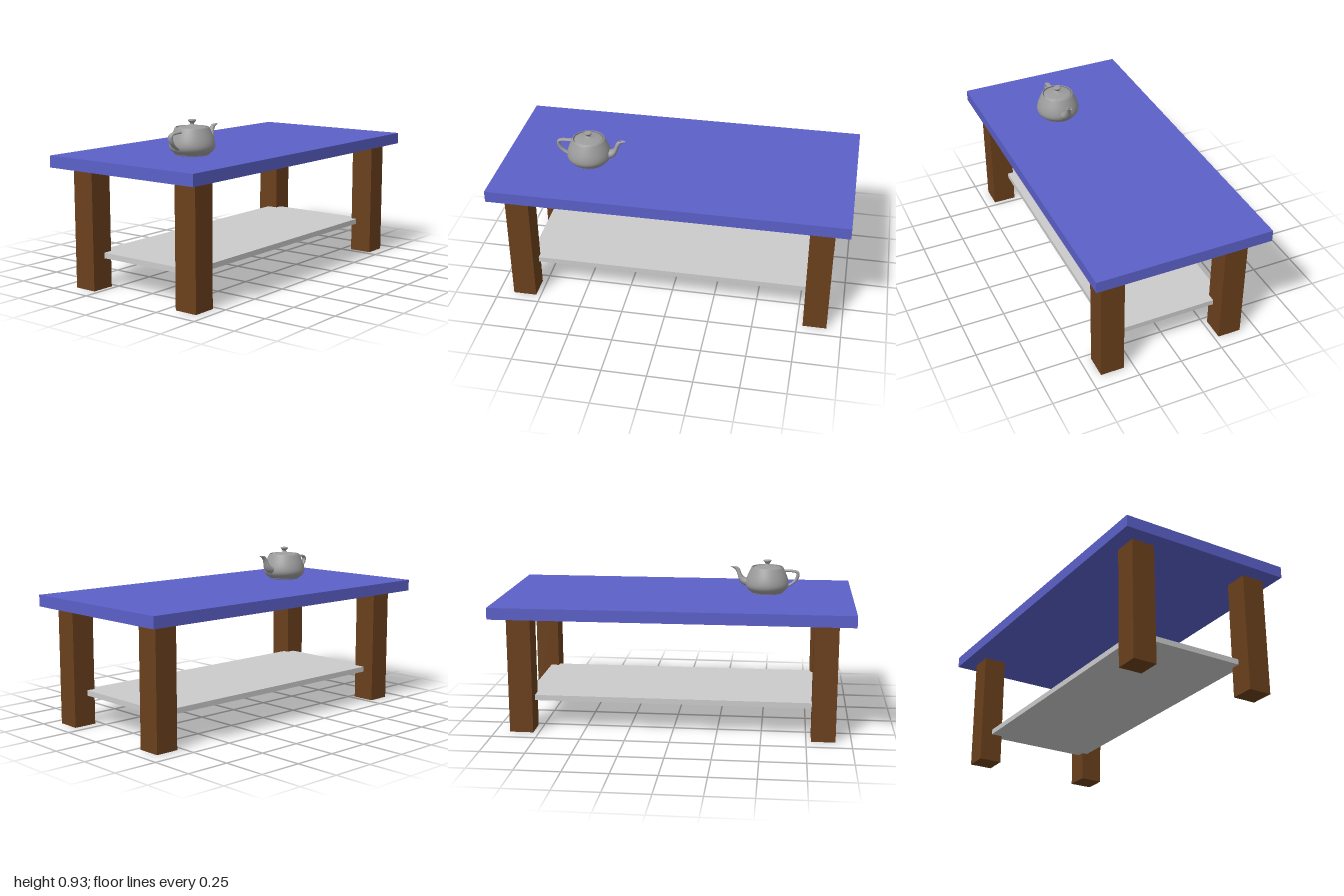
import * as THREE from 'three';
import { ParametricGeometry } from 'three/addons/geometries/ParametricGeometry.js';

const BLUE = new THREE.MeshStandardMaterial({ color: 0x5b60c8 });
const BROWN = new THREE.MeshStandardMaterial({ color: 0x6b401c });
const GREY = new THREE.MeshStandardMaterial({ color: 0xcccccc });
const POT = new THREE.MeshStandardMaterial({ color: 0x9c9c9c, side: THREE.DoubleSide });

function addMesh(parent, name, geometry, material) {
  const mesh = new THREE.Mesh(geometry, material);
  mesh.name = name;
  parent.add(mesh);
  return mesh;
}

function addBox(parent, name, material, size, centre) {
  addMesh(parent, name, new THREE.BoxGeometry(...size), material).position.set(...centre);
}

// Cubic curve through control points [x, y, halfWidth]
const curve = (...p) =>
  new THREE.CubicBezierCurve3(...p.map(([x, y, w = 0]) => new THREE.Vector3(x, y, w)));

// Revolve a chain of cubic profile curves
function revolve(curves) {
  const points = curves.flatMap((c, i) => c.getPoints(10).slice(i ? 1 : 0));
  return new THREE.LatheGeometry(points.map((p) => new THREE.Vector2(p.x, p.y)), 48);
}

// Closed tube spanned between an inner and an outer edge, bulging sideways by the half width
function sweep(inner, outer) {
  const at = (edge, t) => {
    const s = Math.min(Math.max(t, 0), 1) * edge.length;
    const i = Math.min(Math.floor(s), edge.length - 1);
    return edge[i].getPoint(s - i);
  };
  return new ParametricGeometry((u, v, target) => {
    const a = at(inner, v), b = at(outer, v);
    const side = u < 0.5 ? 1 : -1;
    const t = u < 0.5 ? u * 2 : 2 - u * 2;
    const k = t * t * (3 - 2 * t);
    target.set(
      a.x + (b.x - a.x) * k,
      a.y + (b.y - a.y) * k,
      side * 3 * t * (1 - t) * a.z
    );
  }, 24, 24);
}

function createTeapot() {
  const pot = new THREE.Group();
  pot.name = 'teapot';

  // Body: base, lower belly, upper belly, rolled rim
  addMesh(pot, 'teapotBody', revolve([
    curve([0, 0], [1.425, 0], [1.5, 0.075], [1.5, 0.15]),
    curve([1.5, 0.15], [1.5, 0.225], [2, 0.45], [2, 0.9]),
    curve([2, 0.9], [2, 1.35], [1.75, 1.875], [1.5, 2.4]),
    curve([1.5, 2.4], [1.4375, 2.53], [1.3375, 2.53], [1.4, 2.4]),
  ]), POT);

  // Lid with knob, leaving a thin gap inside the rim
  addMesh(pot, 'teapotLid', revolve([
    curve([1.3, 2.4], [1.3, 2.55], [0.4, 2.55], [0.2, 2.7]),
    curve([0.2, 2.7], [0, 2.85], [0.8, 3.15], [0, 3.15]),
  ]), POT);

  // Handle
  addMesh(pot, 'teapotHandle', sweep([
    curve([-1.6, 2.025, 0.3], [-2.3, 2.025, 0.3], [-2.7, 2.025, 0.3], [-2.7, 1.8, 0.3]),
    curve([-2.7, 1.8, 0.3], [-2.7, 1.575, 0.3], [-2.5, 1.125, 0.3], [-2, 0.9, 0.3]),
  ], [
    curve([-1.5, 2.25], [-2.5, 2.25], [-3, 2.25], [-3, 1.8]),
    curve([-3, 1.8], [-3, 1.35], [-2.65, 0.94], [-1.9, 0.6]),
  ]), POT);

  // Spout with its turned-in lip
  addMesh(pot, 'teapotSpout', sweep([
    curve([1.7, 1.425, 0.66], [2.6, 1.425, 0.66], [2.3, 2.1, 0.25], [2.7, 2.4, 0.25]),
    curve([2.7, 2.4, 0.25], [2.8, 2.475, 0.25], [2.9, 2.475, 0.15], [2.8, 2.4, 0.15]),
  ], [
    curve([1.7, 0.6], [3.1, 0.825], [2.4, 2.025], [3.3, 2.4]),
    curve([3.3, 2.4], [3.525, 2.494], [3.45, 2.5125], [3.2, 2.4]),
  ]), POT);

  return pot;
}

export function createModel() {
  const model = new THREE.Group();
  model.name = 'coffeeTable';

  addBox(model, 'tableTop', BLUE, [2, 0.065, 1], [0, 0.7025, 0]);
  addBox(model, 'shelf', GREY, [1.66, 0.031, 0.68], [0, 0.185, -0.002]);

  // Four square legs
  for (const x of [-0.845, 0.85]) {
    for (const z of [0.372, -0.344]) {
      addBox(model, 'leg', BROWN, [0.134, 0.67, 0.134], [x, 0.335, z]);
    }
  }

  // Teapot, its base sunk a hair into the top
  const teapot = createTeapot();
  teapot.scale.setScalar(0.0623);
  teapot.position.set(-0.51, 0.7315, 0.085);
  model.add(teapot);

  return model;
}
